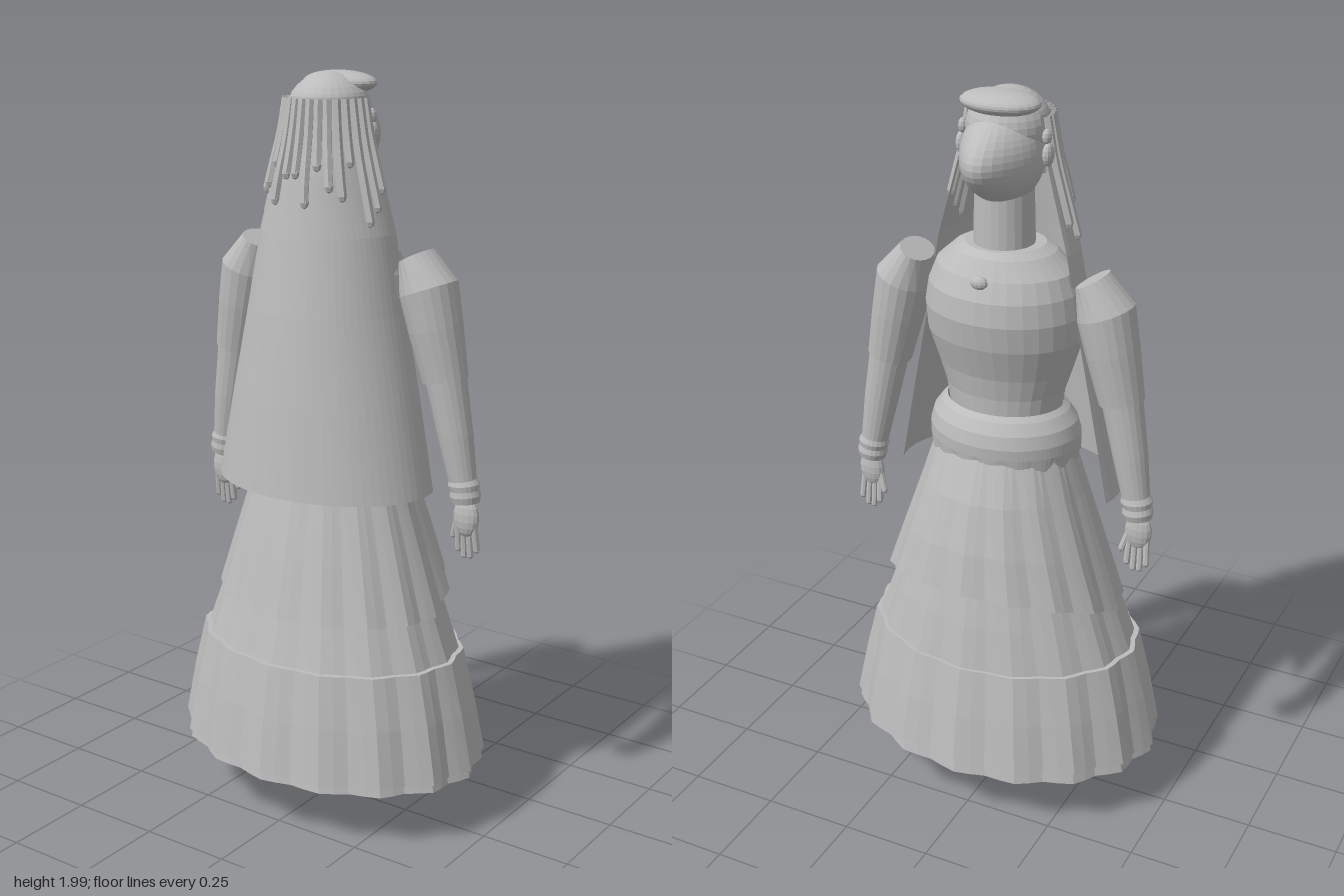
import * as THREE from 'three';

const cloth = new THREE.MeshStandardMaterial({ color: 0xbcbcbc, flatShading: true, side: THREE.DoubleSide });
cloth.name = 'plain grey';
const { cos, sin, PI, max } = Math;

// Grid surface: point(u, j) gives [x, y, z] for u in 0..1 and row j
function surface(nu, rows, point) {
  const pos = [], index = [];
  for (let j = 0; j < rows; j++)
    for (let i = 0; i <= nu; i++) pos.push(...point(i / nu, j));
  for (let j = 0; j < rows - 1; j++)
    for (let i = 0; i < nu; i++) {
      const a = j * (nu + 1) + i, c = a + nu + 1;
      index.push(a, a + 1, c, a + 1, c + 1, c);
    }
  const g = new THREE.BufferGeometry();
  g.setAttribute('position', new THREE.Float32BufferAttribute(pos, 3));
  g.setIndex(index);
  g.computeVertexNormals();
  return g;
}

// Oval rings listed downwards as [y, back depth, front depth, half width, fold, lift at front]
function ovalLoft(rings, sides, folds = 16) {
  return surface(sides, rings.length, (u, j) => {
    const [y, back, front, width, fold = 0, lift = 0] = rings[j];
    const t = u * 2 * PI, c = cos(t), k = 1 + fold * cos(folds * t);
    return [(c > 0 ? front : back) * c * k, y + lift * max(0, c), width * sin(t) * k];
  });
}

export function createModel() {
  const root = new THREE.Group();
  const add = (name, geometry, x = 0, y = 0, z = 0) => {
    const m = new THREE.Mesh(geometry, cloth);
    m.name = name;
    m.position.set(x, y, z);
    root.add(m);
    return m;
  };
  const ball = (name, x, y, z, rx, ry, rz, n = 24) =>
    add(name, new THREE.SphereGeometry(1, n, n * 0.67 | 0).scale(rx, ry, rz), x, y, z);

  // Bodice and neck
  add('bodice', ovalLoft([
    [1.61, 0.03, 0.05, 0.04], [1.61, 0.085, 0.105, 0.105], [1.595, 0.1, 0.125, 0.135],
    [1.55, 0.12, 0.153, 0.185], [1.5, 0.13, 0.175, 0.205], [1.44, 0.135, 0.181, 0.215],
    [1.37, 0.13, 0.17, 0.211], [1.28, 0.115, 0.142, 0.183], [1.22, 0.108, 0.132, 0.163],
    [1.17, 0.105, 0.13, 0.155]], 32));
  add('neck', new THREE.CylinderGeometry(0.075, 0.08, 0.2, 24), 0.012, 1.66, 0);
  ball('brooch', 0.155, 1.545, 0, 0.015, 0.018, 0.024, 12);

  // Scalloped peplum
  const peplum = [[1.178, 0.11, 0.135, 0.16], [1.165, 0.125, 0.15, 0.175], [1.135, 0.14, 0.168, 0.197],
    [1.1, 0.148, 0.176, 0.207], [1.07, 0.15, 0.174, 0.208], [1.045, 0.15, 0.17, 0.205]];
  add('peplum', surface(96, peplum.length, (u, j) => {
    const [y, back, front, width] = peplum[j], t = u * 2 * PI, c = cos(t);
    const scallop = j === peplum.length - 1 ? 0.025 * Math.abs(sin(9 * t)) - 0.01 : 0;
    return [(c > 0 ? front : back) * c, y - scallop, width * sin(t)];
  }));

  // Skirt tiers with folds that deepen towards the hem
  add('overskirt', ovalLoft([
    [1.1, 0.125, 0.155, 0.178], [0.93, 0.172, 0.215, 0.228, 0.012, 0.02],
    [0.76, 0.212, 0.25, 0.282, 0.016, 0.06], [0.6, 0.248, 0.272, 0.332, 0.02, 0.105],
    [0.6, 0.236, 0.26, 0.32, 0.02, 0.105]], 64));
  add('underskirt', ovalLoft([
    [0.85, 0.175, 0.205, 0.24], [0.6, 0.242, 0.255, 0.325, 0.012], [0.48, 0.272, 0.275, 0.368, 0.015],
    [0.165, 0.322, 0.322, 0.44, 0.024], [0.165, 0.312, 0.312, 0.43, 0.024]], 64));
  add('flounce', ovalLoft([
    [0.48, 0.265, 0.27, 0.36, 0.015], [0.48, 0.286, 0.283, 0.382, 0.015],
    [0.34, 0.308, 0.307, 0.415, 0.02], [0.187, 0.328, 0.326, 0.444, 0.024, 0.02],
    [0.187, 0.32, 0.318, 0.436, 0.024, 0.02]], 64));

  // Head: a ball drawn out to a point at the nose
  const face = new THREE.SphereGeometry(1, 32, 24);
  const p = face.attributes.position;
  for (let i = 0; i < p.count; i++) {
    const x = p.getX(i);
    p.setXYZ(i, 0.11 * x + 0.055 * max(0, x) ** 4, 0.122 * p.getY(i), 0.105 * p.getZ(i));
  }
  face.computeVertexNormals();
  add('head', face, 0.02, 1.835, 0);
  ball('hair', -0.012, 1.9, 0, 0.112, 0.096, 0.106, 28);
  ball('headdress', 0.035, 1.968, 0, 0.07, 0.03, 0.105);

  // Veil wrapped round the back, open in front: [y, centre x, depth, half width]
  const veil = [[1.94, -0.01, 0.11, 0.1], [1.84, -0.01, 0.125, 0.118], [1.75, -0.01, 0.145, 0.143],
    [1.6, -0.01, 0.167, 0.185], [1.4, -0.015, 0.19, 0.22], [1.17, -0.02, 0.211, 0.267], [0.935, -0.025, 0.23, 0.312]];
  const veilAt = (y, a, out = 0) => {
    let j = 0;
    while (j < veil.length - 2 && veil[j + 1][0] > y) j++;
    const k = (veil[j][0] - y) / (veil[j][0] - veil[j + 1][0]);
    const [, cx, d, w] = veil[j].map((v, n) => v + (veil[j + 1][n] - v) * k);
    return [cx - (d + out) * cos(a), y, (w + out) * sin(a)];
  };
  add('veil', surface(40, veil.length, (u, j) => veilAt(veil[j][0], (0.5 - u) * PI * 1.15)));

  // Locks of hair over the veil
  const locks = 17;
  for (let i = 0; i < locks; i++) {
    const a = (i / (locks - 1) - 0.5) * PI * 1.02;
    const length = 0.2 + 0.05 * sin(i * 2.3) + (Math.abs(i - 8) > 5 ? 0.06 : 0);
    const path = new THREE.CatmullRomCurve3([0, 0.4, 0.75, 1].map(k =>
      new THREE.Vector3(...veilAt(1.935 - length * k, a, 0.004))));
    add('hairLock', new THREE.TubeGeometry(path, 6, 0.012, 6));
    const end = path.getPoint(1);
    ball('hairLockTip', end.x, end.y, end.z, 0.012, 0.016, 0.012, 6);
  }

  // Arms, hands, legs and earrings on both sides
  // Arm sections: [y, z, x, half depth, half width, tilt]
  const upper = [[1.55, 0.247, 0.02, 0, 0, 0.49], [1.55, 0.247, 0.02, 0.062, 0.043, 0.49],
    [1.47, 0.285, 0.02, 0.08, 0.076, 0.35], [1.37, 0.307, 0.022, 0.073, 0.07, 0.25], [1.24, 0.336, 0.025, 0.058, 0.06, 0.2]];
  const lower = [[1.26, 0.334, 0.025, 0.053, 0.055, 0.2], [1.1, 0.366, 0.03, 0.044, 0.047, 0.2], [0.96, 0.392, 0.035, 0.033, 0.036, 0.15]];
  const cuff = [[0.985, 0.388, 0.035, 0.034, 0.037, 0.12], [0.97, 0.391, 0.035, 0.039, 0.043, 0.12],
    [0.955, 0.394, 0.035, 0.036, 0.039, 0.12], [0.94, 0.396, 0.036, 0.039, 0.042, 0.12],
    [0.922, 0.398, 0.036, 0.034, 0.037, 0.12], [0.922, 0.398, 0.036, 0, 0, 0.12]];
  for (const s of [1, -1]) {
    const side = s > 0 ? 'right' : 'left';
    const limb = (name, sections) => add(side + name, surface(20, sections.length, (u, j) => {
      const [y, z, x, rx, rz, tilt] = sections[j], t = s * u * 2 * PI;
      return [x + rx * cos(t), y + rz * sin(t) * sin(tilt), s * (z + rz * sin(t) * cos(tilt))];
    }));
    limb('UpperSleeve', upper);
    limb('LowerSleeve', lower);
    limb('Cuff', cuff);

    ball(side + 'Palm', 0.036, 0.882, s * 0.4, 0.02, 0.055, 0.037, 14);
    const finger = (z0, z1, y0, y1, x1) => {
      const path = new THREE.LineCurve3(new THREE.Vector3(0.036, y0, s * z0), new THREE.Vector3(x1, y1, s * z1));
      add(side + 'Finger', new THREE.TubeGeometry(path, 1, 0.009, 8));
      ball(side + 'Fingertip', x1, y1, s * z1, 0.009, 0.011, 0.009, 8);
    };
    for (let f = 0; f < 4; f++)
      finger(0.376 + f * 0.016, 0.374 + f * 0.018, 0.86, [0.79, 0.775, 0.777, 0.795][f], 0.045);
    finger(0.375, 0.358, 0.88, 0.825, 0.045);

    add(side + 'Leg', new THREE.CylinderGeometry(0.07, 0.04, 0.8, 20), 0.02, 0.53, s * 0.125);
    ball(side + 'Shoe', 0.067, 0.085, s * 0.125, 0.105, 0.078, 0.046);
    ball(side + 'Earring', 0.012, 1.847, s * 0.118, 0.02, 0.03, 0.014, 12);
    ball(side + 'EarStud', 0.012, 1.89, s * 0.114, 0.014, 0.02, 0.012, 10);
  }
  return root;
}
